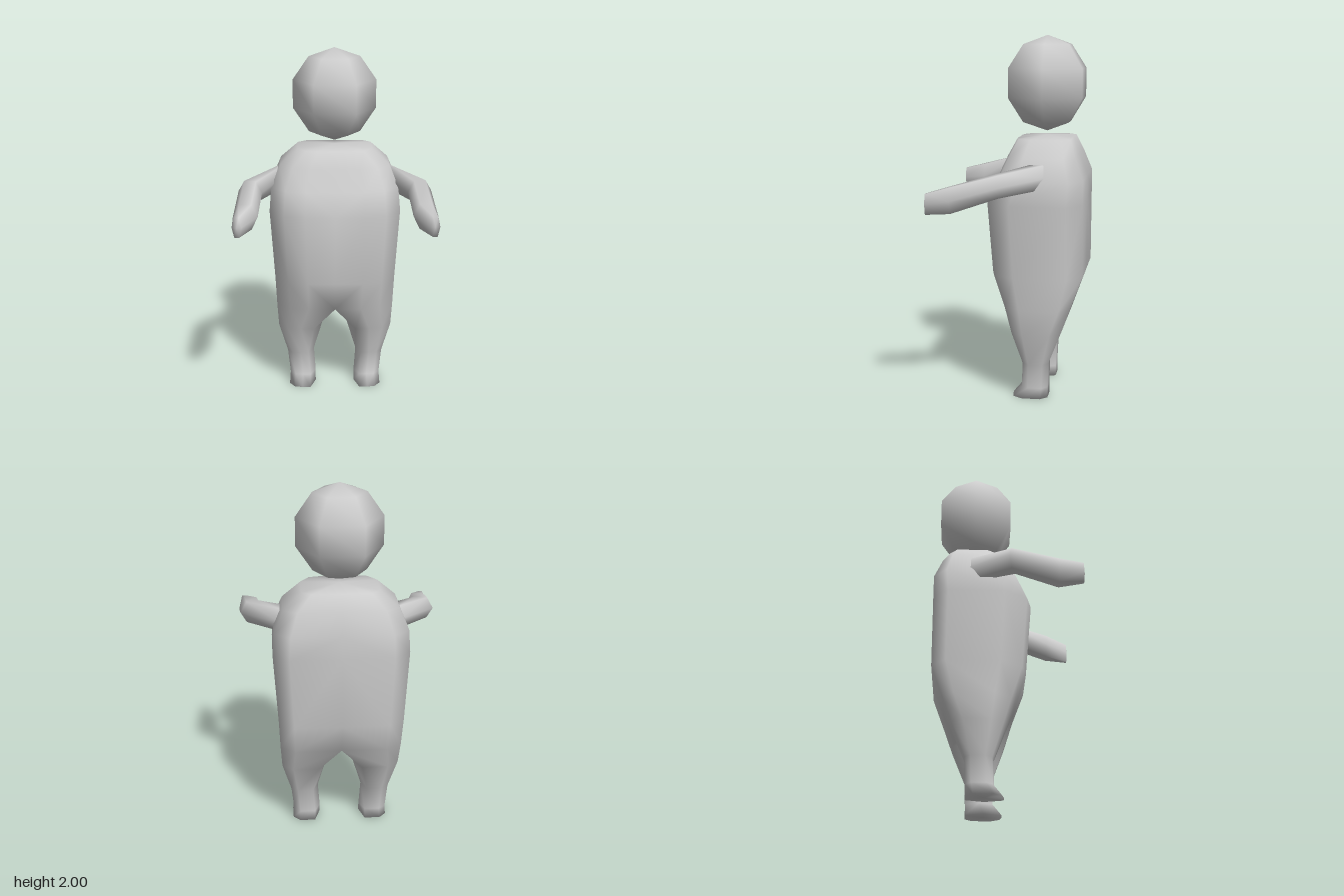
import * as THREE from 'three';
import { mergeVertices, mergeGeometries } from 'three/addons/utils/BufferGeometryUtils.js';

const material = new THREE.MeshStandardMaterial({ color: 0xcccccc });

// Joins closed rings of [x, y, z] points; side = -1 mirrors the result across x
function loft(rings, side = 1, skip = () => false) {
  const n = rings[0].length;
  const index = [];
  for (let i = 0; i < rings.length - 1; i++) {
    for (let j = 0; j < n; j++) {
      if (skip(i, j)) continue;
      const a = i * n + j, b = i * n + (j + 1) % n;
      if (side > 0) index.push(a, b, b + n, a, b + n, a + n);
      else index.push(a, b + n, b, a, a + n, b + n);
    }
  }
  const points = rings.flat().map(([x, y, z]) => [x * side, y, z]).flat();
  const geometry = new THREE.BufferGeometry();
  geometry.setAttribute('position', new THREE.Float32BufferAttribute(points, 3));
  geometry.setIndex(index);
  return geometry;
}

function addMesh(group, name, geometry) {
  const merged = mergeVertices(geometry, 1e-4);
  merged.computeVertexNormals();
  const mesh = new THREE.Mesh(merged, material);
  mesh.name = name;
  group.add(mesh);
}

// Half cross-sections: [inner to outer, back to front]
const legSection = [[0.2, 1], [0.5, 1], [0.8, 0.95], [1, 0.72], [1, 0.2], [0.76, 0], [0.2, 0], [0, 0.5]];
const torsoSection = [[0, 1], [0.45, 1], [0.77, 0.95], [1, 0.72], [1, 0.15], [0.76, 0], [0, 0], [0, 0.5]];

// Rows: y, front z, back z, outer x, inner x
const bodyRows = [
  [0, -0.11, -0.11, 0.19, 0.19], // sole centre
  [0, -0.01, -0.21, 0.27, 0.115],
  [0.06, -0.06, -0.21, 0.265, 0.115],
  [0.2, -0.065, -0.215, 0.28, 0.125],
  [0.38, 0, -0.285, 0.33, 0.07],
  [0.52, 0.045, -0.335, 0.338, 0], // crotch
  [0.7, 0.11, -0.4, 0.345, 0],
  [1.1, 0.14, -0.4, 0.37, 0],
  [1.23, 0.08, -0.4, 0.36, 0],
  [1.35, 0.025, -0.355, 0.31, 0],
  [1.44, -0.02, -0.32, 0.21, 0],
  [1.455, -0.17, -0.17, 0, 0], // top centre
];
const crotch = 5;

function halfBody(side) {
  const rings = bodyRows.map(([y, front, back, outer, inner], i) =>
    (i < crotch ? legSection : torsoSection).map(([u, v]) =>
      [inner + (outer - inner) * u, y, back + (front - back) * v]));
  // The two halves are open to each other above the crotch
  return loft(rings, side, (i, j) => i >= crotch && j >= 6);
}

// Rows: centre, half width, half height, heading of the width axis (0 = outward, 1 = backward)
const armRows = [
  [[0.325, 1.255, -0.155], 0, 0, 1],
  [[0.325, 1.255, -0.155], 0.075, 0.065, 1],
  [[0.473, 1.225, 0.03], 0.07, 0.06, 0.2],
  [[0.487, 1.15, 0.27], 0.067, 0.07, 0],
  [[0.525, 1.13, 0.4], 0.026, 0.055, 0],
  [[0.525, 1.13, 0.405], 0, 0, 0],
];

function arm(side) {
  const rings = armRows.map(([[x, y, z], w, h, turn]) => {
    const t = turn * Math.PI / 2;
    return Array.from({ length: 6 }, (_, k) => {
      const a = k * Math.PI / 3;
      const across = w * Math.cos(a);
      return [x + across * Math.cos(t), y + h * Math.sin(a) / 0.866, z - across * Math.sin(t)];
    });
  });
  return loft(rings, side);
}

export function createModel() {
  const group = new THREE.Group();
  group.name = 'figure';

  // Torso and legs in one skin
  addMesh(group, 'body', mergeGeometries([halfBody(1), halfBody(-1)]));

  // Arms reaching forward
  addMesh(group, 'leftArm', arm(1));
  addMesh(group, 'rightArm', arm(-1));

  // Six-sided head floating above the shoulders
  const profile = [[0, 1.475], [0.145, 1.525], [0.235, 1.66], [0.235, 1.82], [0.145, 1.95], [0, 2]]
    .map(([r, y]) => new THREE.Vector2(r, y));
  const head = new THREE.LatheGeometry(profile, 6, Math.PI / 2);
  head.deleteAttribute('uv');
  head.deleteAttribute('normal');
  head.translate(0, 0, -0.172);
  addMesh(group, 'head', head);

  return group;
}
